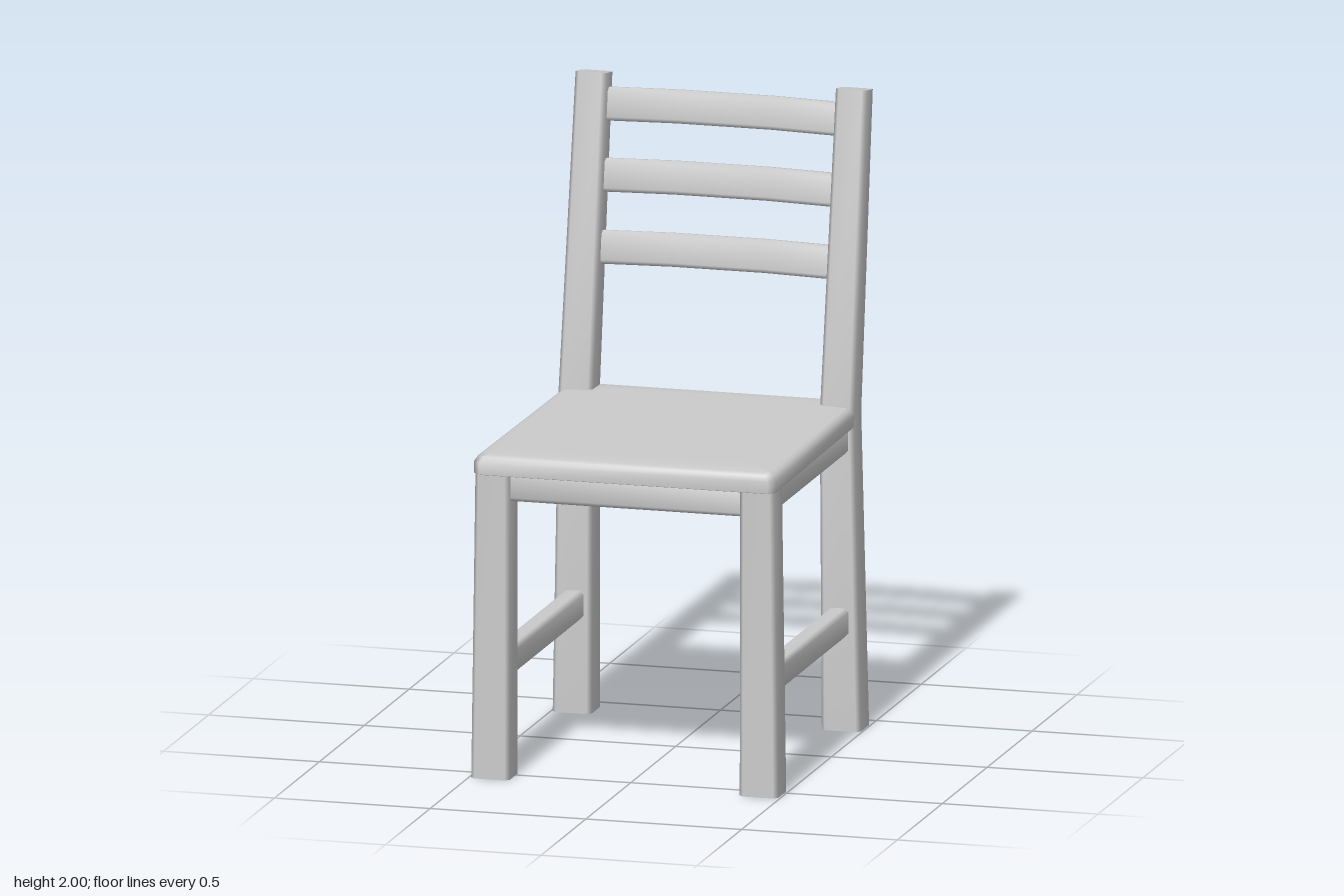
import * as THREE from 'three';

const material = new THREE.MeshStandardMaterial({ color: 0xcccccc });
const V = (x, y, z) => new THREE.Vector3(x, y, z);
const X = V(1, 0, 0), Y = V(0, 1, 0), Z = V(0, 0, 1);

// Rectangle with cut corners around c; u cross v points along the bar
function ring(c, u, v, hu, hv, cut = 0.013) {
  const a = hu - cut, b = hv - cut;
  return [[hu, -b], [hu, b], [a, hv], [-a, hv], [-hu, b], [-hu, -b], [-a, -hv], [a, -hv]]
    .map(([s, t]) => c.clone().addScaledVector(u, s).addScaledVector(v, t));
}

// Smooth sides through the rings, with flat end caps
function loft(name, rings) {
  const n = rings[0].length, pts = rings.flat(), index = [];
  for (let r = 0; r < rings.length - 1; r++) {
    for (let i = 0; i < n; i++) {
      const a = r * n + i, b = r * n + (i + 1) % n;
      index.push(a, b, b + n, a, b + n, a + n);
    }
  }
  const start = pts.length, end = start + n;
  pts.push(...rings[0], ...rings[rings.length - 1]);
  for (let i = 1; i < n - 1; i++) {
    index.push(start, start + i + 1, start + i, end, end + i, end + i + 1);
  }
  const geometry = new THREE.BufferGeometry().setFromPoints(pts);
  geometry.setIndex(index);
  geometry.computeVertexNormals();
  const mesh = new THREE.Mesh(geometry, material);
  mesh.name = name;
  return mesh;
}

// Seat outline: wider at the front, back corners tucked into the posts
function seatRing(y, inset, scale = 1) {
  const half = [[0.463, 0.585], [0.485, 0.563], [0.475, -0.36], [0.4, -0.44]];
  const right = half.map(([x, z]) => [-x, z]).reverse();
  return [...half, ...right].map(([x, z]) => V(
    (x - Math.sign(x) * inset) * scale, y,
    (z - (z > 0 ? inset : -inset * 0.4)) * scale + 0.07 * (1 - scale)));
}

export function createModel() {
  const chair = new THREE.Group();
  chair.name = 'chair';

  chair.add(loft('seat', [
    seatRing(0.965, 0.002), seatRing(0.967, 0), seatRing(1.003, 0),
    seatRing(1.02, 0.01), seatRing(1.027, 0.025), seatRing(1.03, 0.05, 0.9), seatRing(1.03, 0.05, 0.02),
  ]));

  for (const [side, s] of [['left', 1], ['right', -1]]) {
    // Front leg, a little wider at the foot
    chair.add(loft(side + 'FrontLeg', [
      ring(V(0.431 * s, 0, 0.523), Z, X, 0.057, 0.062),
      ring(V(0.425 * s, 0.97, 0.523), Z, X, 0.055, 0.055),
    ]));
    // Back leg and leaning post in one piece
    chair.add(loft(side + 'BackPost', [
      ring(V(0.432 * s, 0, -0.392), Z, X, 0.058, 0.063),
      ring(V(0.42 * s, 1, -0.379), Z, X, 0.053, 0.055),
      ring(V(0.418 * s, 1.99, -0.54), V(0, 0.16, 0.987), X, 0.045, 0.05),
    ]));
    // Side apron and low stretcher
    for (const [name, y, h] of [['Apron', 0.925, 0.045], ['Stretcher', 0.345, 0.046]]) {
      chair.add(loft(side + name, [
        ring(V(0.425 * s, y, -0.37), X, Y, 0.034, h),
        ring(V(0.425 * s, y, 0.5), X, Y, 0.034, h),
      ]));
    }
  }

  // Front and back aprons
  for (const [name, z] of [['frontApron', 0.525], ['backApron', -0.385]]) {
    chair.add(loft(name, [-0.4, 0.4].map(x => ring(V(x, 0.925, z), Y, Z, 0.045, 0.034))));
  }

  // Three bowed back slats, tilted with the posts
  const up = V(0, 0.987, -0.16), out = V(0, 0.16, 0.987);
  [[1.455, -0.482], [1.675, -0.52], [1.892, -0.557]].forEach(([y, z], i) => {
    const bow = [[-0.39, 0.024], [-0.15, 0], [0.15, 0], [0.39, 0.024]];
    chair.add(loft('backSlat' + (i + 1),
      bow.map(([x, dz]) => ring(V(x, y, z + dz), up, out, 0.052, 0.023, 0.012))));
  });

  return chair;
}
